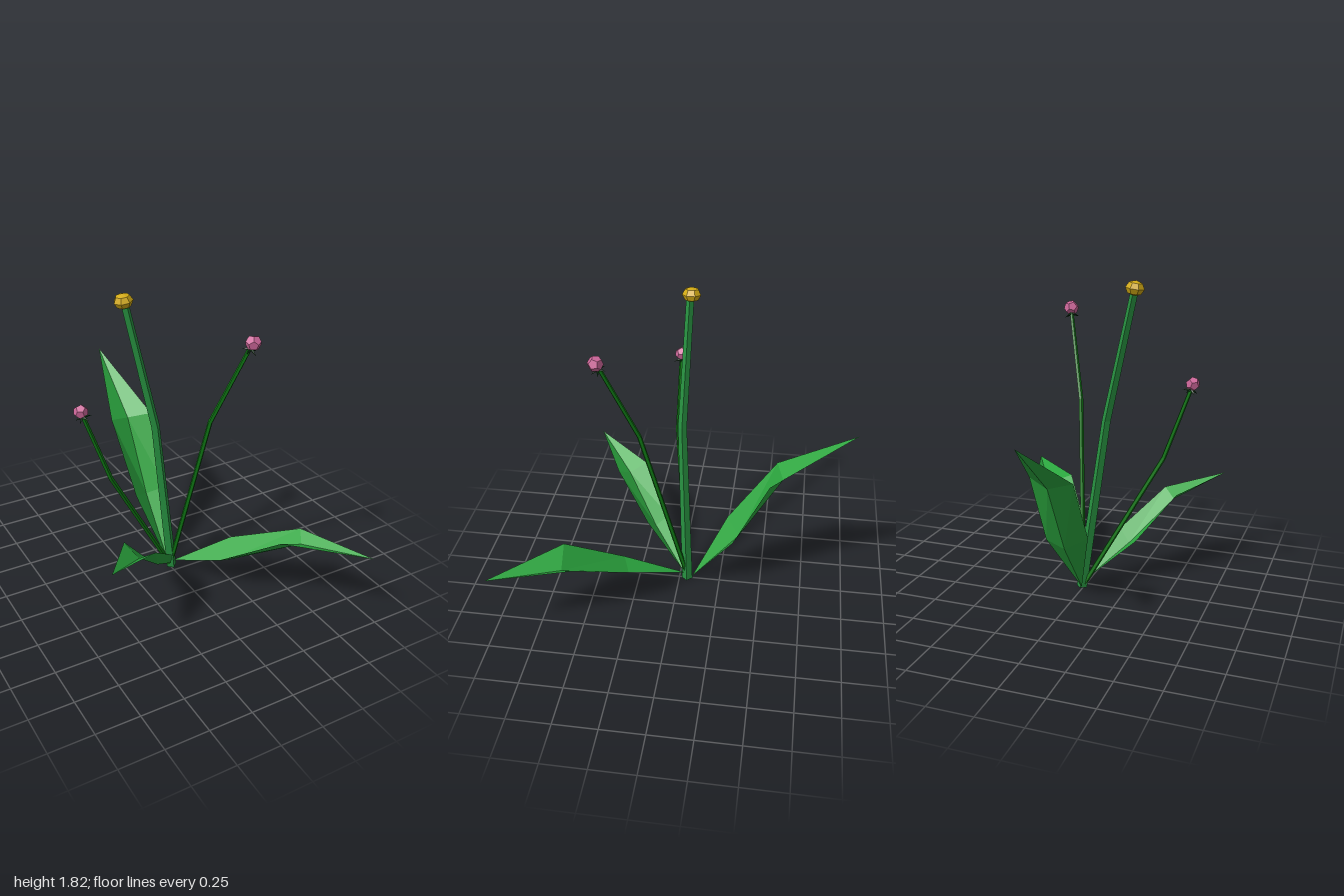
import * as THREE from 'three';

const mat = (color, side = THREE.FrontSide) =>
  new THREE.MeshStandardMaterial({ color, flatShading: true, side });
const V = (p) => new THREE.Vector3(...p);

// Folded leaf: base point, two rows of [left, midrib, right], and a tip
function leaf(name, base, rows, tip, material) {
  const pts = [base, ...rows.flat(), tip];
  const index = [];
  for (let h = 0; h < 2; h++) {
    const a = 1 + h, b = 2 + h, c = 4 + h, d = 5 + h;
    index.push(0, b, a, a, b, c, b, d, c, c, d, 7);
  }
  const geo = new THREE.BufferGeometry();
  geo.setAttribute('position', new THREE.Float32BufferAttribute(pts.flat(), 3));
  geo.setIndex(index);
  geo.computeVertexNormals();
  const mesh = new THREE.Mesh(geo, material);
  mesh.name = name;
  return mesh;
}

// Bent stem: the rings of a cylinder are moved onto the path points
function stem(name, path, radii, sides, material) {
  const pts = path.map(V), n = pts.length - 1;
  const geo = new THREE.CylinderGeometry(1, 1, 1, sides, n);
  const pos = geo.attributes.position, up = new THREE.Vector3(0, 1, 0);
  const turns = pts.map((p, i) => {
    const dir = pts[Math.min(i + 1, n)].clone().sub(pts[Math.max(i - 1, 0)]).normalize();
    return new THREE.Quaternion().setFromUnitVectors(up, dir);
  });
  for (let k = 0; k < pos.count; k++) {
    const i = Math.round((pos.getY(k) + 0.5) * n);
    const v = V([pos.getX(k) * radii[i], 0, pos.getZ(k) * radii[i]]);
    v.applyQuaternion(turns[i]).add(pts[i]);
    pos.setXYZ(k, v.x, v.y, v.z);
  }
  geo.computeVertexNormals();
  const mesh = new THREE.Mesh(geo, material);
  mesh.name = name;
  return mesh;
}

// Pink bud on a ring of drooping sepals
function bud(name, center, r, tilt, pink, dark) {
  const group = new THREE.Group();
  group.name = name;
  const head = new THREE.Mesh(new THREE.DodecahedronGeometry(r), pink);
  head.name = 'budHead';
  group.add(head);
  for (let i = 0; i < 5; i++) {
    const geo = new THREE.ConeGeometry(0.011, 0.05, 4);
    geo.translate(0, 0.025, 0).rotateZ(-1.95).translate(0, -r * 0.8, 0);
    geo.rotateY((i / 5) * Math.PI * 2);
    const sepal = new THREE.Mesh(geo, dark);
    sepal.name = 'sepal';
    group.add(sepal);
  }
  group.position.set(...center);
  group.rotation.set(tilt[0], 0, tilt[1]);
  return group;
}

export function createModel() {
  const model = new THREE.Group();
  model.name = 'flowerPlant';
  const leafGreen = mat(0x2ba53e, THREE.DoubleSide);
  const thickGreen = mat(0x279040);
  const thinGreen = mat(0x0f7a14);
  const dark = mat(0x0c3d14);
  const pink = mat(0xcc6699);
  const yellow = mat(0xd2aa14);

  // Leaves
  model.add(
    leaf('backLeaf', [0, 0.02, -0.08], [
      [[-0.11, 0.42, -0.28], [0, 0.37, -0.36], [0.12, 0.40, -0.33]],
      [[-0.13, 0.83, -0.56], [0, 0.80, -0.60], [0.13, 0.83, -0.53]],
    ], [0, 1.13, -1], leafGreen),
    leaf('leftLeaf', [0.01, 0.05, -0.04], [
      [[0.29, 0.26, 0.18], [0.21, 0.18, 0.28], [0.12, 0.23, 0.32]],
      [[0.54, 0.44, 0.53], [0.49, 0.395, 0.61], [0.33, 0.46, 0.63]],
    ], [0.7, 0.45, 0.99], leafGreen),
    leaf('rightLeaf', [-0.01, 0.05, -0.02], [
      [[-0.14, 0.30, 0.22], [-0.21, 0.23, 0.18], [-0.27, 0.27, 0.11]],
      [[-0.36, 0.52, 0.44], [-0.43, 0.47, 0.38], [-0.47, 0.53, 0.28]],
    ], [-0.7, 0.6, 0.61], leafGreen),
  );

  // Stems
  model.add(
    stem('tallStem', [[0.01, 0.01, -0.05], [-0.12, 1.03, 0], [-0.28, 1.76, -0.02]],
      [0.032, 0.026, 0.022], 4, thickGreen),
    stem('leftStem', [[0, 0.02, -0.05], [0.11, 1.09, 0.21], [0.235, 1.57, 0.39]],
      [0.015, 0.014, 0.012], 5, thinGreen),
    stem('rightStem', [[0, 0.02, -0.05], [-0.44, 0.82, 0.07], [-0.59, 1.24, 0.07]],
      [0.015, 0.014, 0.012], 5, thinGreen),
  );

  // Flower heads
  const flower = new THREE.Mesh(new THREE.SphereGeometry(0.054, 7, 4), yellow);
  flower.name = 'yellowFlower';
  flower.scale.y = 0.78;
  flower.position.set(-0.287, 1.785, -0.028);
  flower.rotation.z = 0.15;
  model.add(
    flower,
    bud('leftBud', [0.242, 1.6, 0.405], 0.044, [0.3, -0.2], pink, dark),
    bud('rightBud', [-0.597, 1.263, 0.07], 0.04, [0, 0.3], pink, dark),
  );
  return model;
}
